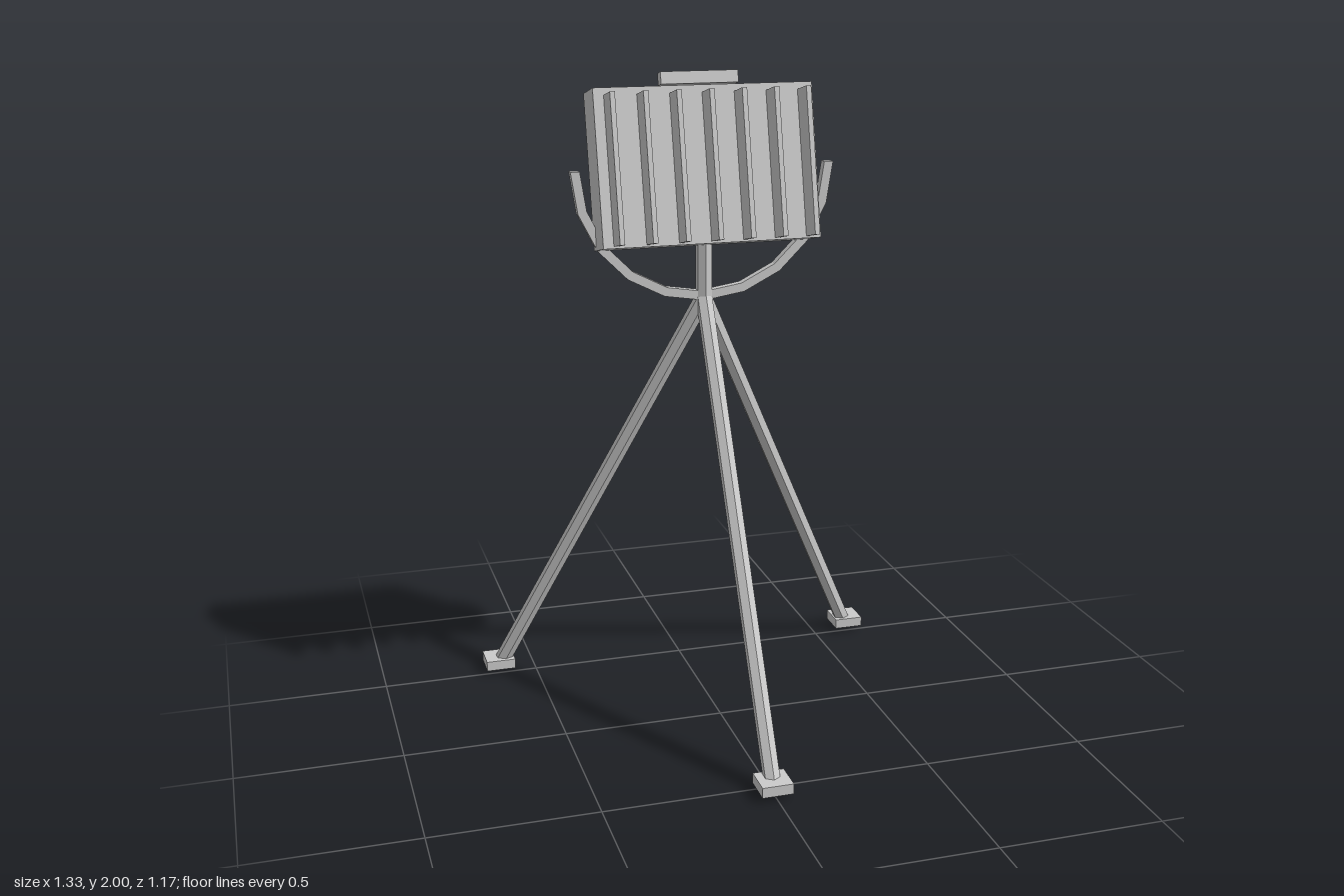
import * as THREE from 'three';

export function createModel() {
  const model = new THREE.Group();
  const grey = new THREE.MeshStandardMaterial({ color: 0xcccccc, flatShading: true });
  const mastZ = -0.177;   // axis of the post and tripod
  const apexY = 1.32;     // where the legs meet
  const legReach = 0.715; // horizontal distance from axis to foot

  function add(parent, name, geometry, x = 0, y = 0, z = 0) {
    const mesh = new THREE.Mesh(geometry, grey);
    mesh.name = name;
    mesh.position.set(x, y, z);
    parent.add(mesh);
    return mesh;
  }

  // Tripod: three hexagonal legs, each with a square foot pad
  const tripod = new THREE.Group();
  tripod.name = 'tripod';
  tripod.position.z = mastZ;
  model.add(tripod);
  const legBottom = 0.0125;
  const drop = apexY - legBottom;
  const legGeometry = new THREE.CylinderGeometry(0.026, 0.026, Math.hypot(drop, legReach), 6);
  const footGeometry = new THREE.BoxGeometry(0.095, 0.032, 0.095);
  ['frontLeg', 'leftLeg', 'rightLeg'].forEach((name, i) => {
    const angle = i * Math.PI * 2 / 3;
    const pivot = new THREE.Group();
    pivot.name = name;
    pivot.rotation.y = angle;
    tripod.add(pivot);
    const leg = add(pivot, name + 'Tube', legGeometry, 0, (apexY + legBottom) / 2, legReach / 2);
    leg.rotation.x = -Math.atan2(legReach, drop);
    add(tripod, name + 'Foot', footGeometry,
      Math.sin(angle) * legReach, 0.032, Math.cos(angle) * legReach);
  });

  // Post between the tripod and the head
  add(model, 'post', new THREE.CylinderGeometry(0.026, 0.026, 0.21, 6), 0, 1.415, mastZ);

  // Yoke: half ring of ten straight segments with a square section
  const outline = [];
  const steps = 10;
  for (let i = 0; i <= steps; i++) {
    const a = Math.PI + Math.PI * i / steps;
    outline.push(new THREE.Vector2(Math.cos(a) * 0.409, Math.sin(a) * 0.409));
  }
  for (let i = steps; i >= 0; i--) {
    const a = Math.PI + Math.PI * i / steps;
    outline.push(new THREE.Vector2(Math.cos(a) * 0.381, Math.sin(a) * 0.381));
  }
  const yoke = new THREE.ExtrudeGeometry(new THREE.Shape(outline), { depth: 0.028, bevelEnabled: false });
  yoke.translate(0, 0, -0.014);
  add(model, 'yoke', yoke, 0, 1.72, -0.18);

  // Head: housing tilted back, with fins in front and a bar on top
  const head = new THREE.Group();
  head.name = 'head';
  head.position.set(0, 1.72, -0.18);
  head.rotation.x = -0.23;
  model.add(head);
  add(head, 'housing', new THREE.BoxGeometry(0.674, 0.468, 0.13));
  add(head, 'topBar', new THREE.BoxGeometry(0.24, 0.037, 0.037), 0, 0.262, 0.007);
  const finGeometry = new THREE.BoxGeometry(0.015, 0.44, 0.09);
  for (let i = -3; i <= 3; i++) add(head, 'fin', finGeometry, i * 0.0993, -0.008, 0.103);

  return model;
}
